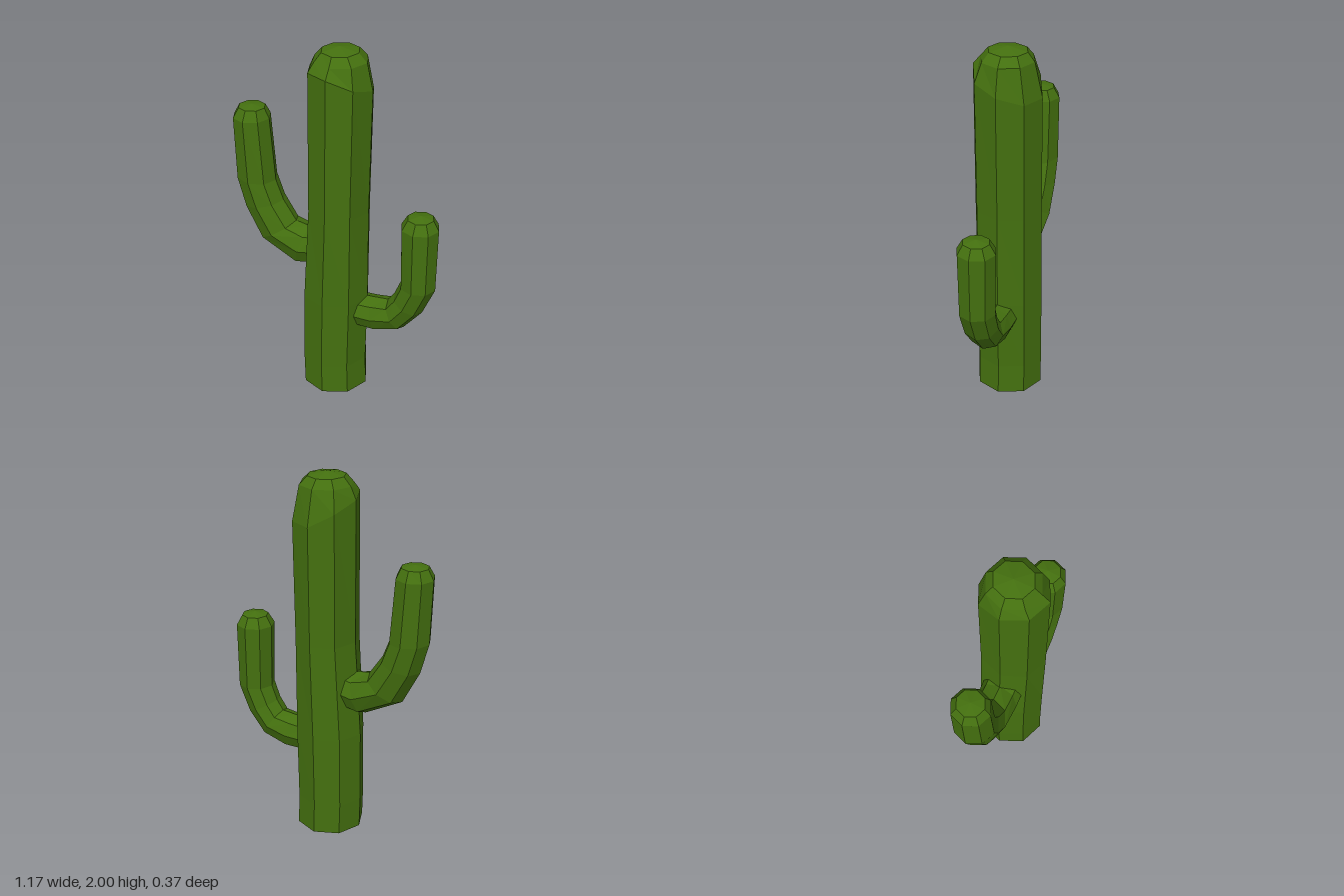
import * as THREE from 'three';

const SIDES = 8;

// Skins a list of eight-sided rings and closes the far end with a fan to the tip
function loft(name, rings, tip, material) {
  const pos = [];
  const tri = (...pts) => pts.forEach((p) => pos.push(p.x, p.y, p.z));
  for (let k = 0; k < SIDES; k++) {
    const n = (k + 1) % SIDES;
    for (let i = 0; i < rings.length - 1; i++) {
      const lo = rings[i], hi = rings[i + 1];
      tri(lo[k], hi[k], hi[n]);
      tri(lo[k], hi[n], lo[n]);
    }
    const last = rings[rings.length - 1];
    tri(last[k], tip, last[n]);
  }
  const geo = new THREE.BufferGeometry();
  geo.setAttribute('position', new THREE.Float32BufferAttribute(pos, 3));
  geo.computeVertexNormals();
  const mesh = new THREE.Mesh(geo, material);
  mesh.name = name;
  return mesh;
}

// Ring spanning two opposite points in the xy plane, with half depth rz;
// lift raises each corner separately
function ring([x1, y1, x2, y2, rz], lift) {
  const c = new THREE.Vector2((x1 + x2) / 2, (y1 + y2) / 2);
  const h = new THREE.Vector2((x1 - x2) / 2, (y1 - y2) / 2);
  return Array.from({ length: SIDES }, (_, k) => {
    const a = (k / SIDES) * Math.PI * 2;
    return new THREE.Vector3(
      c.x + h.x * Math.cos(a),
      c.y + h.y * Math.cos(a) + (lift ? lift[k] : 0),
      rz * Math.sin(a));
  });
}

export function createModel() {
  const green = new THREE.MeshStandardMaterial({
    color: 0x44700f, flatShading: true, side: THREE.DoubleSide,
  });
  const group = new THREE.Group();
  group.name = 'cactus';

  // Trunk: open at the base, leaning slightly, with an uneven shoulder
  const trunkRings = [
    ring([0.185, 0, -0.18, 0, 0.185]),
    ring([0.18, 0.17, -0.185, 0.17, 0.185]),
    ring([0.19, 0.57, -0.182, 0.57, 0.185]),
    ring([0.188, 1.1, -0.147, 1.1, 0.185]),
    ring([0.202, 1.8, -0.145, 1.8, 0.185],
      [-0.01, 0.03, 0.085, 0.085, 0.07, 0.02, -0.05, -0.05]),
    ring([0.17, 1.935, -0.115, 1.935, 0.142]),
    ring([0.125, 1.98, -0.075, 1.98, 0.105]),
  ];
  group.add(loft('trunk', trunkRings, new THREE.Vector3(0.02, 2, 0), green));

  // Left arm: low, bending up
  const leftRings = [
    [0.12, 0.4, 0.12, 0.578, 0.095],
    [0.26, 0.395, 0.22, 0.585, 0.096],
    [0.405, 0.44, 0.31, 0.592, 0.096],
    [0.507, 0.562, 0.347, 0.645, 0.097],
    [0.575, 0.72, 0.38, 0.725, 0.1],
    [0.581, 1.08, 0.375, 1.08, 0.105],
    [0.55, 1.135, 0.407, 1.135, 0.073],
  ].map((r) => ring(r));
  group.add(loft('leftArm', leftRings, new THREE.Vector3(0.48, 1.15, 0), green));

  // Right arm: higher and longer
  const rightRings = [
    [-0.1, 0.945, -0.1, 0.73, 0.11],
    [-0.15, 0.935, -0.215, 0.71, 0.11],
    [-0.235, 0.95, -0.43, 0.825, 0.11],
    [-0.31, 1.06, -0.527, 1.01, 0.11],
    [-0.353, 1.17, -0.575, 1.18, 0.11],
    [-0.383, 1.525, -0.587, 1.525, 0.105],
    [-0.41, 1.58, -0.556, 1.58, 0.074],
  ].map((r) => ring(r));
  group.add(loft('rightArm', rightRings, new THREE.Vector3(-0.483, 1.592, 0), green));

  return group;
}
